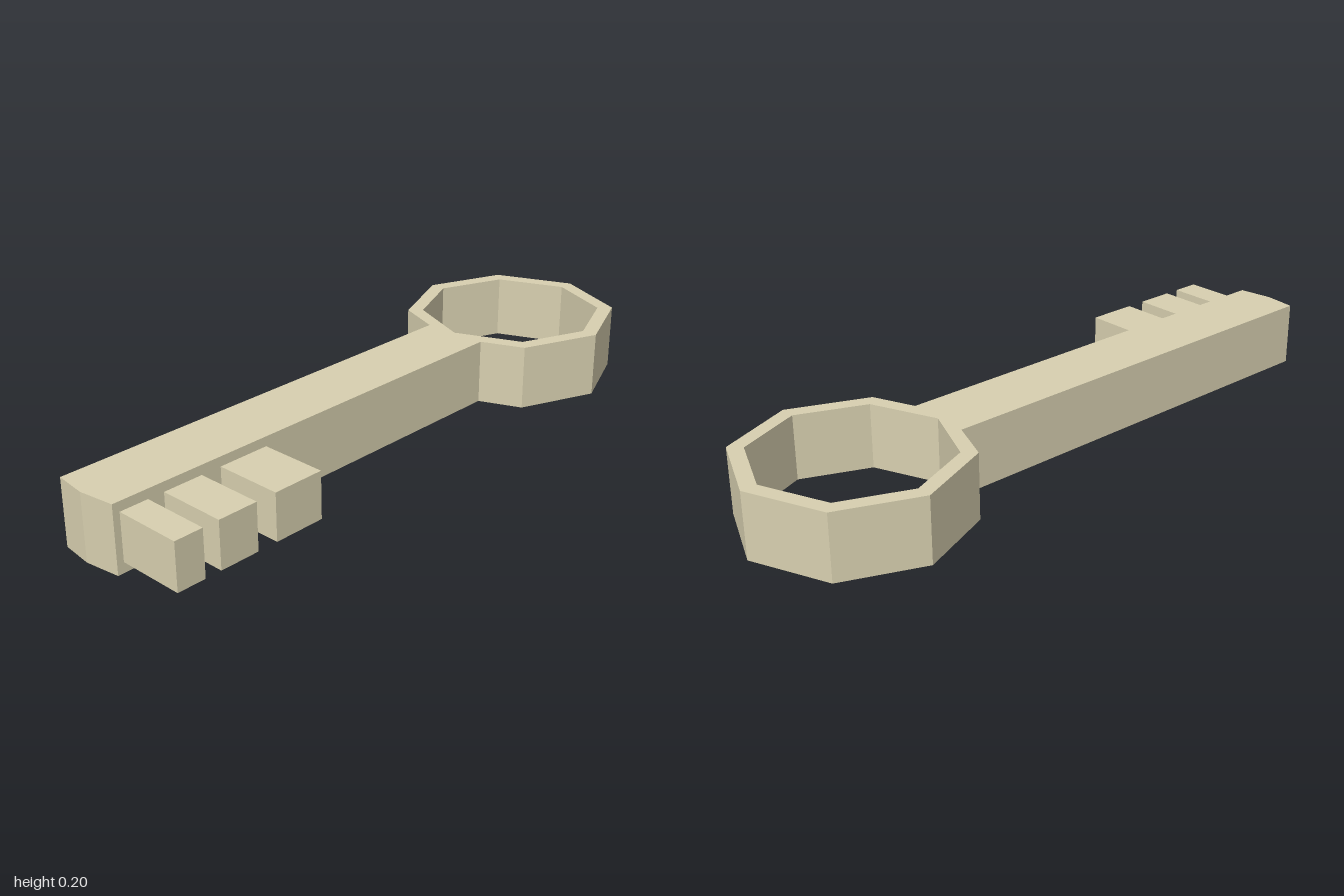
import * as THREE from 'three';

const HEIGHT = 0.196;
const RING_Z = -0.673;
const OUTER = 0.327;
const INNER = 0.28;

// Corner of the octagonal bow in plan (x, -z), counted from the shaft side
function corner(radius, i) {
  const a = (i * Math.PI) / 4;
  return new THREE.Vector2(radius * Math.sin(a), -(RING_Z + radius * Math.cos(a)));
}

export function createModel() {
  const key = new THREE.Group();
  key.name = 'key';
  const material = new THREE.MeshStandardMaterial({ color: 0xd8d0b0, flatShading: true });

  // Bow and shaft share one outline: slightly bowed tip, shaft sides, then round the octagon
  const joinZ = -0.39;
  const outline = [
    new THREE.Vector2(-0.097, -joinZ),
    new THREE.Vector2(-0.097, -0.988),
    new THREE.Vector2(0, -1),
    new THREE.Vector2(0.105, -0.986),
    new THREE.Vector2(0.105, -joinZ),
  ];
  for (let i = 1; i <= 7; i++) outline.push(corner(OUTER, i));

  const shape = new THREE.Shape(outline);
  const hole = [];
  for (let i = 0; i < 8; i++) hole.push(corner(INNER, i));
  shape.holes.push(new THREE.Path(hole));

  const bodyGeometry = new THREE.ExtrudeGeometry(shape, { depth: HEIGHT, bevelEnabled: false });
  bodyGeometry.rotateX(-Math.PI / 2);
  const body = new THREE.Mesh(bodyGeometry, material);
  body.name = 'bowAndShaft';
  key.add(body);

  // Three teeth on the left side, narrowing toward the tip: [start z, end z]
  const teeth = [[0.494, 0.65], [0.712, 0.832], [0.881, 0.966]];
  teeth.forEach(([z0, z1], i) => {
    const tooth = new THREE.Mesh(new THREE.BoxGeometry(0.21, 0.138, z1 - z0), material);
    tooth.position.set(0.2, 0.099, (z0 + z1) / 2);
    tooth.name = `tooth${i + 1}`;
    key.add(tooth);
  });

  return key;
}
